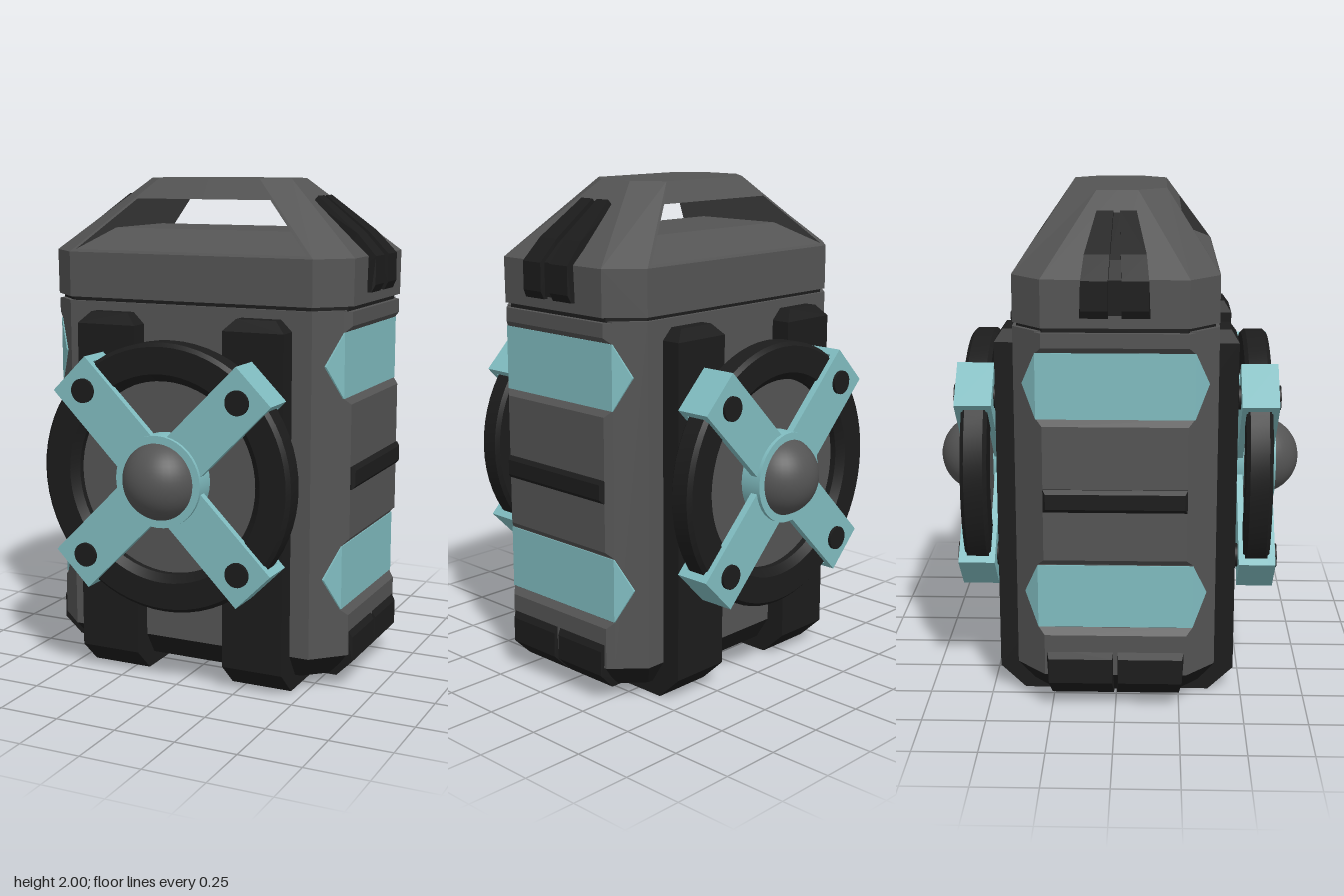
import * as THREE from 'three';
import { ConvexGeometry } from 'three/addons/geometries/ConvexGeometry.js';
import { toCreasedNormals } from 'three/addons/utils/BufferGeometryUtils.js';

const grey = new THREE.MeshStandardMaterial({ color: 0x545454 });
const black = new THREE.MeshStandardMaterial({ color: 0x1c1c1c });
const teal = new THREE.MeshStandardMaterial({ color: 0x80bcc0 });

function add(parent, name, geometry, material) {
  const mesh = new THREE.Mesh(geometry, material);
  mesh.name = name;
  parent.add(mesh);
  return mesh;
}

// Faceted convex solid from its corner points
const hull = (pts) => new ConvexGeometry(pts.map((p) => new THREE.Vector3(...p)));

// Octagonal cross-section: half sizes x, z and where the corner cuts start
function octagon(y, x, z, cx, cz) {
  const pts = [];
  for (const sx of [1, -1]) for (const sz of [1, -1]) pts.push([sx * cx, y, sz * z], [sx * x, y, sz * cz]);
  return pts;
}

function rect(y, x0, x1, z) {
  return [[x0, y, -z], [x1, y, -z], [x0, y, z], [x1, y, z]];
}

function box(x0, x1, y0, y1, z0, z1) {
  return new THREE.BoxGeometry(x1 - x0, y1 - y0, z1 - z0)
    .translate((x0 + x1) / 2, (y0 + y1) / 2, (z0 + z1) / 2);
}

// Cylinder along z between two depths
function rod(r, z0, z1, sides = 40) {
  return new THREE.CylinderGeometry(r, r, z1 - z0, sides).rotateX(Math.PI / 2).translate(0, 0, (z0 + z1) / 2);
}

// Tapered lid top with a carry opening through it: one quarter, mirrored four ways
function lidTopGeometry() {
  const slopeZ = (y) => 0.39 - (0.2 * (y - 1.71)) / 0.29;
  const foot = [0.525, 1.71, 0.39], side = [0.65, 1.71, 0.275];
  const topF = [0.22, 2, 0.19], topS = [0.31, 2, 0.08];
  const low = [0.5, 1.72, slopeZ(1.72)], high = [0.29, 1.92, slopeZ(1.92)];
  const sill = [0.416, 1.8, 0.2];
  const midX = (p) => [0, p[1], p[2]];
  const midZ = (p) => [p[0], p[1], 0];
  const centre = (y) => [0, y, 0];
  const faces = [
    [side, midZ(side), midZ(topS), topS],
    [foot, side, topS, topF],
    [low, foot, topF, high],
    [midX(high), high, topF, midX(topF)],
    [midX(foot), foot, low, midX(low)],
    [midX(topF), topF, topS, midZ(topS), centre(2)],
    [midX(high), centre(1.92), midZ(high), high],
    [low, high, midZ(high), midZ(low)],
    [midX(low), low, sill, midX(sill)],
    [midX(sill), sill, midZ(sill), centre(1.8)],
  ];
  const pos = [];
  for (const sx of [1, -1]) for (const sz of [1, -1]) for (const face of faces) {
    const f = face.map(([x, y, z]) => [sx * x, y, sz * z]);
    if (sx * sz < 0) f.reverse();
    for (let i = 1; i < f.length - 1; i++) pos.push(...f[0], ...f[i], ...f[i + 1]);
  }
  const g = new THREE.BufferGeometry();
  g.setAttribute('position', new THREE.Float32BufferAttribute(pos, 3));
  g.computeVertexNormals();
  return g;
}

// Armour, panels and clips on the +x side
function createSide() {
  const g = new THREE.Group();
  const slab = (name, y0, y1, b0, b1) => add(g, name, hull([
    ...rect(y0, 0.58, 0.62, 0.299), ...rect(y0 + b0, 0.6, 0.645, 0.275),
    ...rect(y1 - b1, 0.6, 0.645, 0.275), ...rect(y1, 0.58, 0.62, 0.299)]), grey);
  slab('lowerSidePlate', 0.15, 0.34, 0, 0.025);
  slab('middleSidePlate', 0.6, 1.18, 0.025, 0.025);
  slab('upperSidePlate', 1.43, 1.51, 0.025, 0);
  add(g, 'sideBar', hull([
    ...rect(0.82, 0.6, 0.65, 0.275), ...rect(0.835, 0.6, 0.663, 0.265),
    ...rect(0.895, 0.6, 0.663, 0.265), ...rect(0.91, 0.6, 0.65, 0.275)]), black);
  // Pointed panels that wrap onto the corner cuts
  for (const y of [0.47, 1.305]) {
    add(g, 'sidePanel', hull([
      ...rect(y - 0.127, 0.55, 0.624, 0.3), ...rect(y + 0.127, 0.55, 0.624, 0.3),
      ...rect(y, 0.53, 0.57, 0.354)]), teal);
  }
  for (const s of [1, -1]) {
    const block = (name, sections) => add(g, name, hull(sections.flatMap(
      ([x, y, z0, z1]) => [[x, y, s * z0], [x, y, s * z1]])), black);
    block('sideFoot', [
      [0.5, 0.05, 0.006, 0.25], [0.59, 0.05, 0.006, 0.25], [0.66, 0.12, 0.012, 0.26],
      [0.66, 0.22, 0.012, 0.26], [0.635, 0.262, 0.006, 0.27], [0.55, 0.262, 0.006, 0.27]]);
    block('lidClip', [
      [0.5, 1.57, 0.025, 0.13], [0.665, 1.57, 0.025, 0.13], [0.68, 1.6, 0.025, 0.125],
      [0.68, 1.71, 0.025, 0.125], [0.6, 1.795, 0.02, 0.115], [0.42, 1.935, 0.012, 0.075],
      [0.4, 1.91, 0.012, 0.08]]);
  }
  add(g, 'lidClipCore', hull([
    ...rect(1.58, 0.5, 0.66, 0.03), ...rect(1.71, 0.5, 0.66, 0.03),
    ...rect(1.775, 0.5, 0.595, 0.025), ...rect(1.925, 0.39, 0.405, 0.015)]), black);
  return g;
}

// Wheel with a cross brace, facing +z
function createRotor() {
  const g = new THREE.Group();
  g.name = 'rotor';
  add(g, 'axle', rod(0.17, 0.36, 0.6), grey);
  add(g, 'wheelDisc', rod(0.39, 0.515, 0.555, 48), grey);
  const profile = [[0.38, 0.52], [0.4, 0.503], [0.515, 0.503], [0.53, 0.518], [0.53, 0.592],
    [0.515, 0.607], [0.41, 0.607], [0.38, 0.58], [0.38, 0.52]].map(([r, z]) => new THREE.Vector2(r, z));
  add(g, 'wheelRing', toCreasedNormals(new THREE.LatheGeometry(profile, 64).rotateX(Math.PI / 2), 0.4),
    new THREE.MeshStandardMaterial({ color: 0x1c1c1c, side: THREE.DoubleSide }));
  add(g, 'hub', rod(0.18, 0.468, 0.645), teal);
  add(g, 'hubDome', new THREE.SphereGeometry(0.16, 40, 24).translate(0, 0, 0.59), grey);
  // Four clamp arms around the ring
  for (let k = 0; k < 4; k++) {
    const arm = new THREE.Group();
    arm.name = 'arm';
    arm.rotation.z = Math.PI / 4 + (k * Math.PI) / 2;
    add(arm, 'armFront', box(0.1, 0.555, -0.1, 0.1, 0.6, 0.63), teal);
    add(arm, 'armBack', box(0.1, 0.555, -0.1, 0.1, 0.485, 0.51), teal);
    add(arm, 'armEnd', box(0.525, 0.555, -0.1, 0.1, 0.485, 0.63), teal);
    add(arm, 'bolt', rod(0.048, 0.475, 0.642, 20).translate(0.465, 0, 0), black);
    g.add(arm);
  }
  g.position.y = 0.865;
  return g;
}

export function createModel() {
  const model = new THREE.Group();
  model.name = 'container';

  // Main body, seam and lid
  add(model, 'body', hull([...octagon(0.15, 0.62, 0.39, 0.525, 0.299), ...octagon(1.515, 0.62, 0.39, 0.525, 0.299)]), grey);
  add(model, 'base', hull([...octagon(0.055, 0.57, 0.33, 0.47, 0.24), ...octagon(0.15, 0.64, 0.39, 0.525, 0.275)]), black);
  add(model, 'seam', hull([...octagon(1.5, 0.625, 0.375, 0.515, 0.27), ...octagon(1.54, 0.625, 0.375, 0.515, 0.27)]), black);
  add(model, 'lidRim', hull([...octagon(1.53, 0.648, 0.39, 0.525, 0.275), ...octagon(1.71, 0.65, 0.39, 0.525, 0.275)]), grey);
  add(model, 'lidTop', lidTopGeometry(), grey);

  // Tread blocks under the base
  for (const x of [-0.09, 0.09]) for (let i = -2; i <= 2; i++) {
    add(model, 'treadBlock', box(x - 0.08, x + 0.08, 0.043, 0.07, i * 0.12 - 0.054, i * 0.12 + 0.054), black);
  }

  // Straps that run under the body and up both faces
  for (const s of [1, -1]) {
    add(model, 'strap', hull([
      ...rect(0, s * 0.19, s * 0.445, 0.37), ...rect(0.095, s * 0.19, s * 0.445, 0.47),
      ...rect(1.435, s * 0.19, s * 0.445, 0.47), ...rect(1.48, s * 0.235, s * 0.4, 0.44)]), black);
  }

  // Matching halves: a half turn places the second side and rotor
  for (const turn of [0, Math.PI]) {
    const side = createSide();
    side.name = turn ? 'rightSide' : 'leftSide';
    side.rotation.y = turn;
    const rotor = new THREE.Group();
    rotor.name = turn ? 'backRotor' : 'frontRotor';
    rotor.add(createRotor());
    rotor.rotation.y = turn;
    model.add(side, rotor);
  }
  return model;
}
